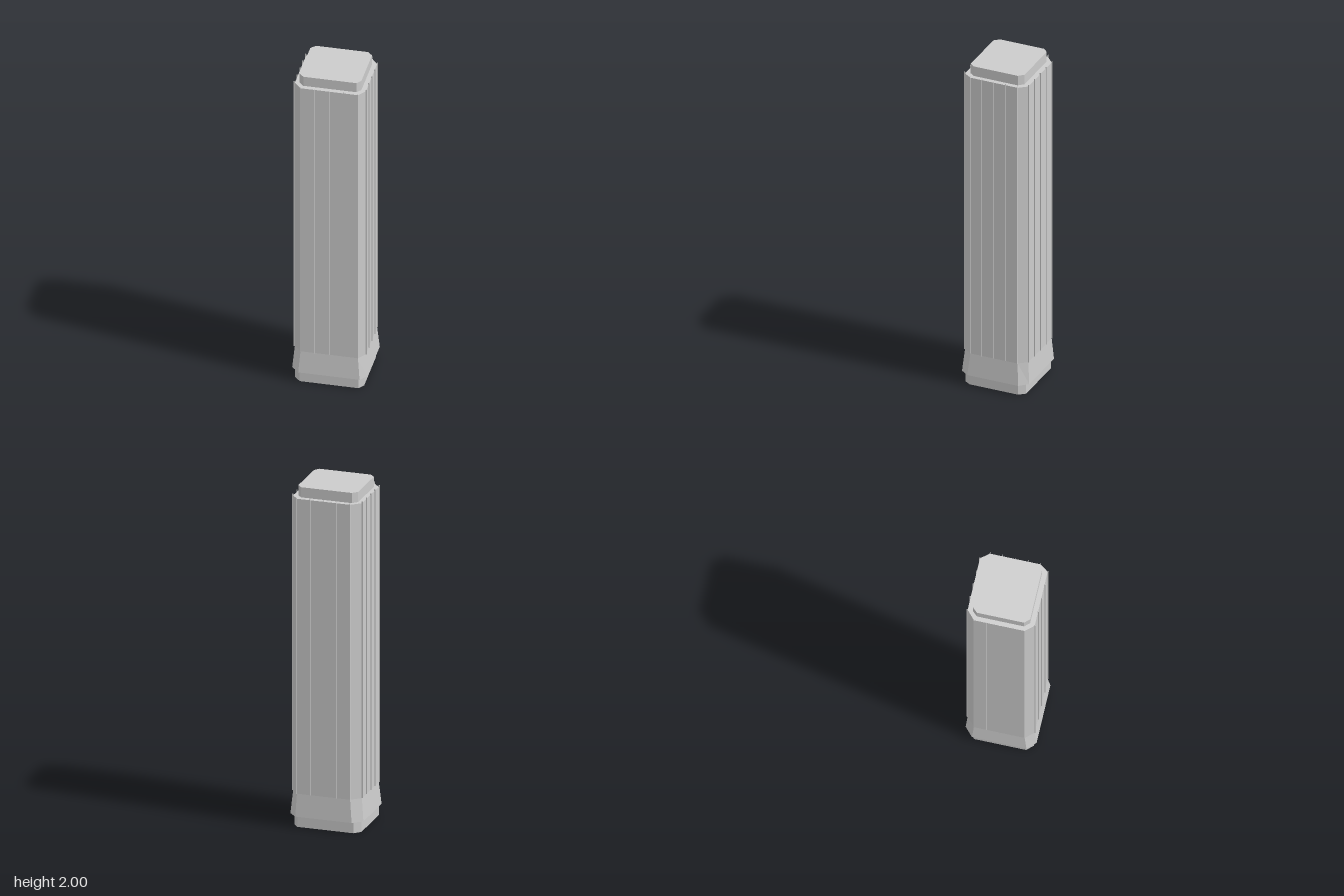
import * as THREE from 'three';

// Eight-cornered ring: a rectangle with chamfered corners
// (cb / cf: chamfer in x at back-left, back-right, front-right, front-left; cz: chamfer in z)
function ring(x0, x1, z0, z1, [bl, br, fr, fl], cz) {
  return [
    [x0 + bl, z0], [x1 - br, z0], [x1, z0 + cz], [x1, z1 - cz],
    [x1 - fr, z1], [x0 + fl, z1], [x0, z1 - cz], [x0, z0 + cz],
  ];
}

// Flat-faced prism between two rings, with optional end caps
function loft(low, y0, high, y1, capTop, capBottom) {
  const pos = [];
  const L = low.map(([x, z]) => [x, y0, z]);
  const H = high.map(([x, z]) => [x, y1, z]);
  const tri = (a, b, c) => pos.push(...a, ...b, ...c);
  for (let i = 0; i < 8; i++) {
    const j = (i + 1) % 8;
    tri(L[i], H[i], H[j]);
    tri(L[i], H[j], L[j]);
    if (i > 0 && i < 7) {
      if (capTop) tri(H[0], H[i + 1], H[i]);
      if (capBottom) tri(L[0], L[i], L[i + 1]);
    }
  }
  const g = new THREE.BufferGeometry();
  g.setAttribute('position', new THREE.Float32BufferAttribute(pos, 3));
  g.computeVertexNormals();
  return g;
}

export function createModel() {
  const group = new THREE.Group();
  const concrete = new THREE.MeshStandardMaterial({ color: 0xcccccc, side: THREE.DoubleSide });
  concrete.name = 'pale grey';
  const add = (name, geometry, parent = group) => {
    const mesh = new THREE.Mesh(geometry, concrete);
    mesh.name = name;
    parent.add(mesh);
    return mesh;
  };

  const shaftRing = ring(-0.203, 0.202, -0.195, 0.19, [0.053, 0.039, 0.034, 0.043], 0.048);
  const skirtRing = ring(-0.215, 0.215, -0.204, 0.203, [0.053, 0.045, 0.035, 0.045], 0.048);
  const plinthRing = ring(-0.2, 0.195, -0.183, 0.187, [0.035, 0.03, 0.025, 0.035], 0.037);
  const capRing = ring(-0.177, 0.175, -0.165, 0.162, [0.027, 0.027, 0.022, 0.027], 0.029);

  // Hollow foot, flared skirt, tall shaft and roof block
  add('plinth', loft(plinthRing, 0, plinthRing, 0.067, false, false));
  add('skirt', loft(skirtRing, 0.067, shaftRing, 0.2, false, true));
  add('shaft', loft(shaftRing, 0.2, shaftRing, 1.94, true, false));
  add('roofBlock', loft(capRing, 1.94, capRing, 2, true, false));

  // Thin upright fins, five to each wide face
  const fins = new THREE.Group();
  fins.name = 'fins';
  group.add(fins);
  const height = 1.75, depth = 0.008, thin = 0.0015;
  const alongX = new THREE.BoxGeometry(thin, height, depth);
  const alongZ = new THREE.BoxGeometry(depth, height, thin);
  for (let i = 0; i < 5; i++) {
    const t = i / 4;
    const z = THREE.MathUtils.lerp(-0.147, 0.143, t);
    const y = 0.2 + height / 2;
    add('frontFin', alongX, fins).position.set(THREE.MathUtils.lerp(-0.16, 0.168, t), y, 0.192);
    add('backFin', alongX, fins).position.set(THREE.MathUtils.lerp(-0.15, 0.163, t), y, -0.197);
    add('leftFin', alongZ, fins).position.set(0.204, y, z);
    add('rightFin', alongZ, fins).position.set(-0.205, y, z);
  }
  return group;
}
